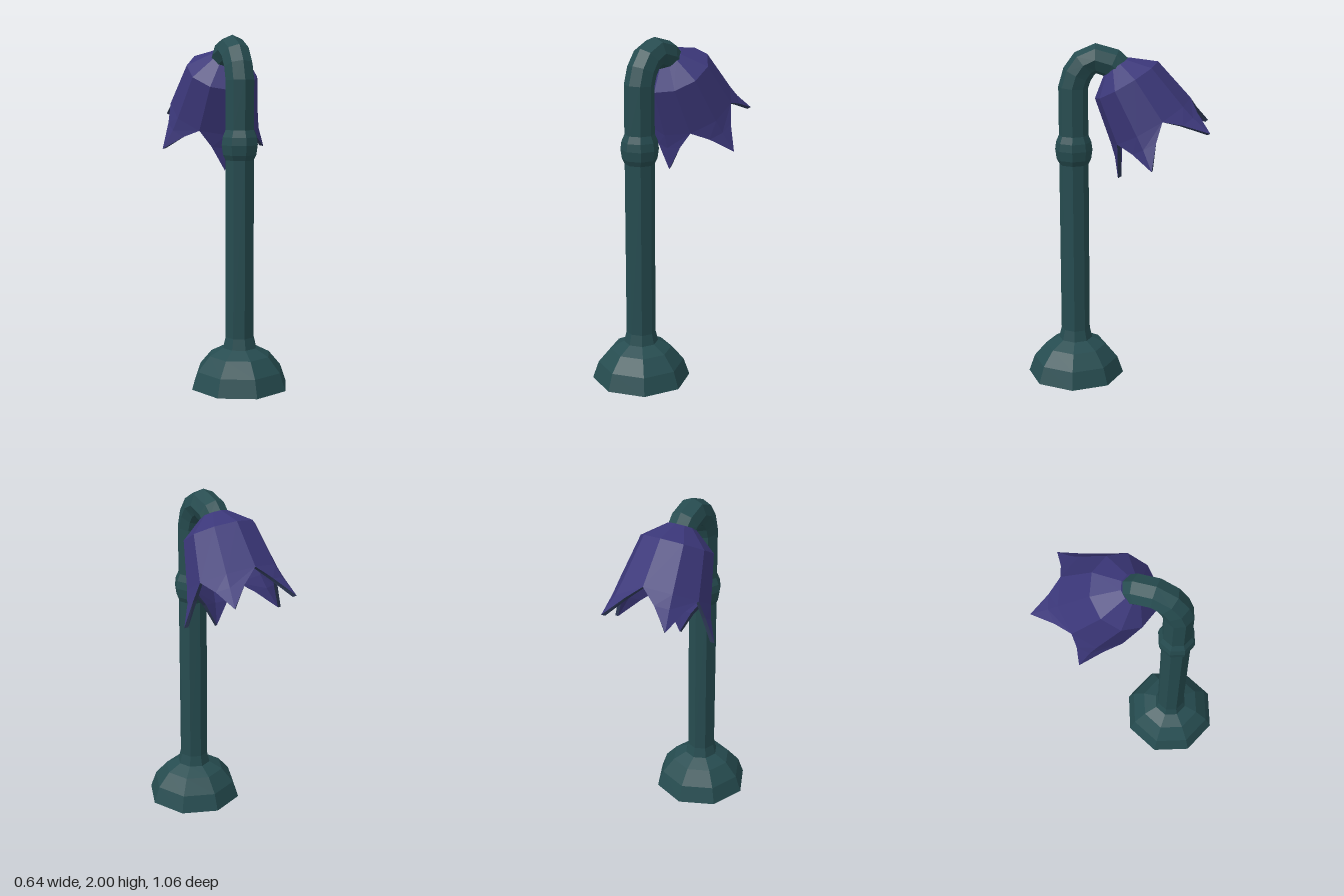
import * as THREE from 'three';

const teal = new THREE.MeshStandardMaterial({ color: 0x264c50, flatShading: true, side: THREE.DoubleSide });
teal.name = 'dark teal';
const violet = new THREE.MeshStandardMaterial({ color: 0x3b3779, flatShading: true });
violet.name = 'violet';
const rimColor = new THREE.MeshStandardMaterial({ color: 0x2f3a58, flatShading: true, side: THREE.DoubleSide });
rimColor.name = 'slate rim';

const STEM_Z = 0.245;
const rad = THREE.MathUtils.degToRad;

// Collects corner points into a faceted mesh
function facetMesh(name, material, points) {
  const geo = new THREE.BufferGeometry().setFromPoints(points);
  geo.computeVertexNormals();
  const mesh = new THREE.Mesh(geo, material);
  mesh.name = name;
  return mesh;
}

// Hollow eight-sided foot
function makeBase() {
  const profile = [[0.287, 0], [0.252, 0.1], [0.18, 0.185], [0.1, 0.227]]
    .map(([r, y]) => new THREE.Vector2(r, y));
  const mesh = new THREE.Mesh(new THREE.LatheGeometry(profile, 8), teal);
  mesh.position.z = STEM_Z;
  mesh.name = 'base';
  return mesh;
}

// Eight-sided stem swept along a hooked path, with a knuckle part way up
function makeStem() {
  const path = [ // z, y, radius
    [0.245, 0.227, 0.1], [0.245, 0.29, 0.085], [0.245, 1.305, 0.085],
    [0.245, 1.335, 0.1], [0.245, 1.39, 0.108], [0.245, 1.435, 0.102], [0.245, 1.475, 0.085],
    [0.245, 1.75, 0.085], [0.222, 1.825, 0.085], [0.18, 1.885, 0.085],
    [0.115, 1.916, 0.085], [0.02, 1.888, 0.085], [-0.015, 1.855, 0.082],
  ];
  const rings = path.map(([z, y, r], i) => {
    const a = path[Math.max(i - 1, 0)], b = path[Math.min(i + 1, path.length - 1)];
    const t = new THREE.Vector2(b[0] - a[0], b[1] - a[1]).normalize();
    return Array.from({ length: 8 }, (_, k) => {
      const s = Math.sin(k * Math.PI / 4) * r, c = Math.cos(k * Math.PI / 4) * r;
      return new THREE.Vector3(s, y - c * t.x, z + c * t.y);
    });
  });
  const pts = [];
  for (let i = 0; i < rings.length - 1; i++) {
    for (let k = 0; k < 8; k++) {
      const n = (k + 1) % 8;
      const a = rings[i][k], b = rings[i][n], c = rings[i + 1][n], d = rings[i + 1][k];
      pts.push(a, b, c, a, c, d);
    }
  }
  return facetMesh('stem', teal, pts);
}

// Five-petalled bell: an outer and an inner shell joined by a rim
function makeFlower() {
  const flower = new THREE.Group();
  flower.name = 'flower';
  const at = (r, h, deg) => new THREE.Vector3(r * Math.sin(rad(deg)), h, -r * Math.cos(rad(deg)));

  function shell(inset) {
    const tris = [], edges = [];
    const quad = (a, b, c, d) => tris.push(a, b, c, a, c, d);
    const drop = inset * 0.8;
    const ring = (r, h, deg) => at(r - inset, h - drop, deg);
    for (let i = 0; i < 5; i++) {
      const mid = 36 + 72 * i;
      // Crown and bell wall
      for (const [p, q] of [[mid - 36, mid], [mid, mid + 36]]) {
        tris.push(at(0, 0.572 - drop, 0), ring(0.078, 0.572, q), ring(0.078, 0.572, p));
        quad(ring(0.078, 0.572, p), ring(0.078, 0.572, q), ring(0.208, 0.47, q), ring(0.208, 0.47, p));
        quad(ring(0.208, 0.47, p), ring(0.208, 0.47, q), at(0.263 - inset, 0.2, q), at(0.263 - inset, 0.2, p));
      }
      // Petal flaring to a point
      const n0 = at(0.263 - inset, 0.2, mid - 36), n1 = at(0.263 - inset, 0.2, mid + 36);
      const top = at(0.263 - inset, 0.2, mid);
      const s0 = at(0.275 - inset, 0.12, mid - 17), s1 = at(0.275 - inset, 0.12, mid + 17);
      const ridge = at(0.284 - inset, 0.12, mid), tip = at(0.335 - inset, 0, mid);
      quad(n0, top, ridge, s0);
      quad(top, n1, s1, ridge);
      tris.push(s0, ridge, tip, ridge, s1, tip);
      edges.push([n0, s0], [s0, tip], [tip, s1], [s1, n1]);
    }
    return { tris, edges };
  }

  const outer = shell(0), inner = shell(0.024);
  // Crown fan faces upward
  flower.add(facetMesh('outerPetals', violet, outer.tris));
  flower.add(facetMesh('innerPetals', violet, inner.tris.reverse()));
  const rim = [];
  outer.edges.forEach(([a, b], i) => {
    const [c, d] = inner.edges[i];
    rim.push(a, d, b, a, c, d);
  });
  flower.add(facetMesh('petalRim', rimColor, rim));

  flower.position.set(0, 1.391, -0.298);
  flower.rotation.x = Math.asin(0.512);
  return flower;
}

export function createModel() {
  const model = new THREE.Group();
  model.name = 'bellFlower';
  model.add(makeBase(), makeStem(), makeFlower());
  return model;
}
